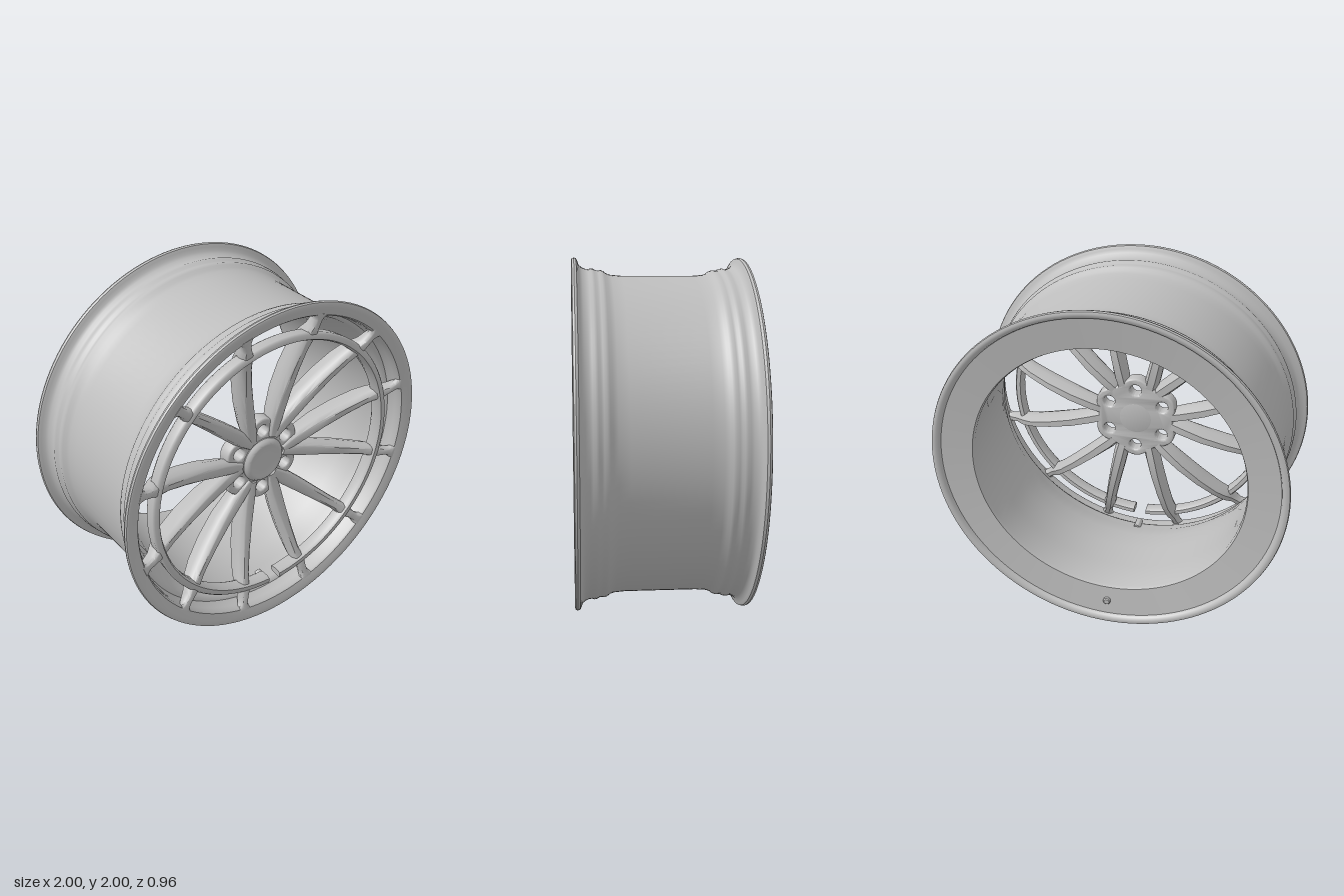
import * as THREE from 'three';
import { toCreasedNormals } from 'three/addons/utils/BufferGeometryUtils.js';

const metal = new THREE.MeshStandardMaterial({ color: 0xbebebe });
metal.name = 'satin grey metal';
const RAD = Math.PI / 180;

function add(parent, name, geometry) {
  const mesh = new THREE.Mesh(geometry, metal);
  mesh.name = name;
  parent.add(mesh);
  return mesh;
}

// Profile of [radius, z] pairs turned around the wheel axis
function turned(profile, segments = 128, crease = 0.6) {
  const g = new THREE.LatheGeometry(profile.map(([r, z]) => new THREE.Vector2(r, z)), segments);
  g.rotateX(Math.PI / 2);
  return toCreasedNormals(g, crease);
}

// Skin a row of convex cross-sections and cap both ends
function loft(sections, crease = 0.6) {
  const n = sections[0].length, last = (sections.length - 1) * n, index = [];
  for (let i = 0; i < sections.length - 1; i++) {
    for (let j = 0; j < n; j++) {
      const a = i * n + j, b = i * n + (j + 1) % n;
      index.push(a, b, a + n, b, b + n, a + n);
    }
  }
  for (let j = 1; j < n - 1; j++) index.push(0, j + 1, j, last, last + j, last + j + 1);
  const g = new THREE.BufferGeometry();
  g.setAttribute('position', new THREE.Float32BufferAttribute(sections.flat(2), 3));
  g.setIndex(index);
  return toCreasedNormals(g, crease);
}

// One spoke: rows of [distance along lug axis, sideways offset, half width, front z, back z]
const spokeRows = [
  [0.130, 0.066, 0.028, 0.315, 0.235],
  [0.190, 0.080, 0.038, 0.319, 0.225],
  [0.260, 0.096, 0.043, 0.326, 0.215],
  [0.400, 0.126, 0.040, 0.346, 0.215],
  [0.550, 0.159, 0.035, 0.375, 0.240],
  [0.680, 0.187, 0.031, 0.408, 0.280],
  [0.745, 0.202, 0.035, 0.430, 0.315],
  [0.785, 0.211, 0.035, 0.445, 0.345],
  [0.820, 0.220, 0.025, 0.454, 0.375],
  [0.860, 0.231, 0.025, 0.460, 0.395],
  [0.880, 0.236, 0.034, 0.465, 0.410],
  [0.897, 0.241, 0.054, 0.467, 0.425],
];
function spoke(lugAngle, side) {
  const dir = lugAngle + side * 13 * RAD;
  const ux = -Math.sin(dir), uy = Math.cos(dir);
  const c = Math.cos(lugAngle), s = Math.sin(lugAngle);
  return loft(spokeRows.map(([along, off, w, zf, zb]) => {
    const x = along * c - side * off * s, y = along * s + side * off * c, d = zf - zb;
    const outline = [
      [-0.5 * w, zb], [0.5 * w, zb], [w, zb + 0.45 * d], [w, zf - 0.25 * d],
      [0.7 * w, zf - 0.04 * d], [0.5 * w, zf], [-0.5 * w, zf],
      [-0.7 * w, zf - 0.04 * d], [-w, zf - 0.25 * d], [-w, zb + 0.45 * d],
    ];
    return outline.map(([u, z]) => [x + ux * u, y + uy * u, z]);
  }));
}

// Inner ring, open at the bottom by the valve
function innerRing() {
  const outline = [ // [z, radius]
    [0.36, 0.778], [0.375, 0.768], [0.425, 0.768], [0.442, 0.778],
    [0.442, 0.806], [0.43, 0.816], [0.375, 0.812], [0.36, 0.802],
  ];
  const sections = [], steps = 120, gap = 0.05;
  for (let i = 0; i <= steps; i++) {
    const a = -Math.PI / 2 + gap + (i / steps) * (2 * Math.PI - 2 * gap);
    sections.push(outline.map(([z, r]) => [r * Math.cos(a), r * Math.sin(a), z]));
  }
  return loft(sections, 0.9);
}

// Hub plate with six soft lobes and six through holes
function hubPlate() {
  const pts = [];
  for (let i = 0; i < 96; i++) {
    const a = (i / 96) * Math.PI * 2, r = 0.236 + 0.018 * Math.cos(6 * (a - Math.PI / 2));
    pts.push(new THREE.Vector2(r * Math.cos(a), r * Math.sin(a)));
  }
  const shape = new THREE.Shape(pts);
  for (let k = 0; k < 6; k++) {
    const a = (30 + 60 * k) * RAD;
    shape.holes.push(new THREE.Path().absarc(0.187 * Math.cos(a), 0.187 * Math.sin(a), 0.045, 0, Math.PI * 2, true));
  }
  const g = new THREE.ExtrudeGeometry(shape, {
    depth: 0.055, bevelThickness: 0.012, bevelSize: 0.01, bevelSegments: 3, curveSegments: 24,
  });
  g.translate(0, 0, 0.235);
  return toCreasedNormals(g, 0.6);
}

export function createModel() {
  const model = new THREE.Group();
  model.name = 'wheel rim';
  const wheel = new THREE.Group();
  wheel.name = 'wheel';
  wheel.position.y = 1;
  model.add(wheel);

  // Barrel: flange and bead steps are the same at both ends
  const bead = [
    [0.985, 0.48], [0.996, 0.476], [1, 0.465], [0.996, 0.452], [0.98, 0.444], [0.96, 0.437],
    [0.947, 0.422], [0.938, 0.40], [0.937, 0.385], [0.941, 0.37], [0.938, 0.355],
    [0.930, 0.343], [0.929, 0.33], [0.931, 0.315], [0.925, 0.30], [0.913, 0.285], [0.905, 0.26], [0.9, 0.2],
  ];
  const outside = [...bead.map(([r, z]) => [r, -z]), ...bead.slice().reverse()];
  const inside = [
    [0.965, 0.476], [0.94, 0.469], [0.922, 0.463], [0.914, 0.452], [0.912, 0.42], [0.908, 0.39], [0.90, 0.37],
    [0.885, 0.362], [0.875, 0.345], [0.865, 0.30], [0.845, 0.26], [0.815, 0.15], [0.80, 0.0], [0.785, -0.2],
    [0.768, -0.41], [0.775, -0.43], [0.952, -0.452], [0.958, -0.468], [0.97, -0.478], [0.985, -0.48],
  ];
  add(wheel, 'barrel', turned([...outside, ...inside]));

  // Twelve spokes in six pairs, one pair around each lug hole
  const spokes = new THREE.Group();
  spokes.name = 'spokes';
  wheel.add(spokes);
  for (let k = 0; k < 6; k++) {
    for (const side of [-1, 1]) add(spokes, 'spoke', spoke((30 + 60 * k) * RAD, side));
  }
  add(wheel, 'innerRing', innerRing());

  // Hub with a shallow centre cap
  add(wheel, 'hub', hubPlate());
  add(wheel, 'centreCap', turned([
    [0, 0.221], [0.09, 0.221], [0.105, 0.226], [0.135, 0.295], [0.135, 0.308], [0.125, 0.322], [0.113, 0.33],
    [0.105, 0.332], [0.096, 0.329], [0.05, 0.33], [0, 0.33],
  ], 64));

  // Valve at the bottom of the barrel, and its small collar on the back face
  const valve = add(wheel, 'valve', turned([
    [0, 0.28], [0.022, 0.28], [0.022, 0.36], [0.018, 0.368], [0.012, 0.368], [0.011, 0.35], [0, 0.35],
  ], 24));
  valve.position.y = -0.865;
  const collar = add(wheel, 'backCollar', turned([
    [0, -0.458], [0.016, -0.458], [0.022, -0.453], [0.022, -0.42], [0, -0.42],
  ], 24));
  collar.position.y = -0.865;

  return model;
}
